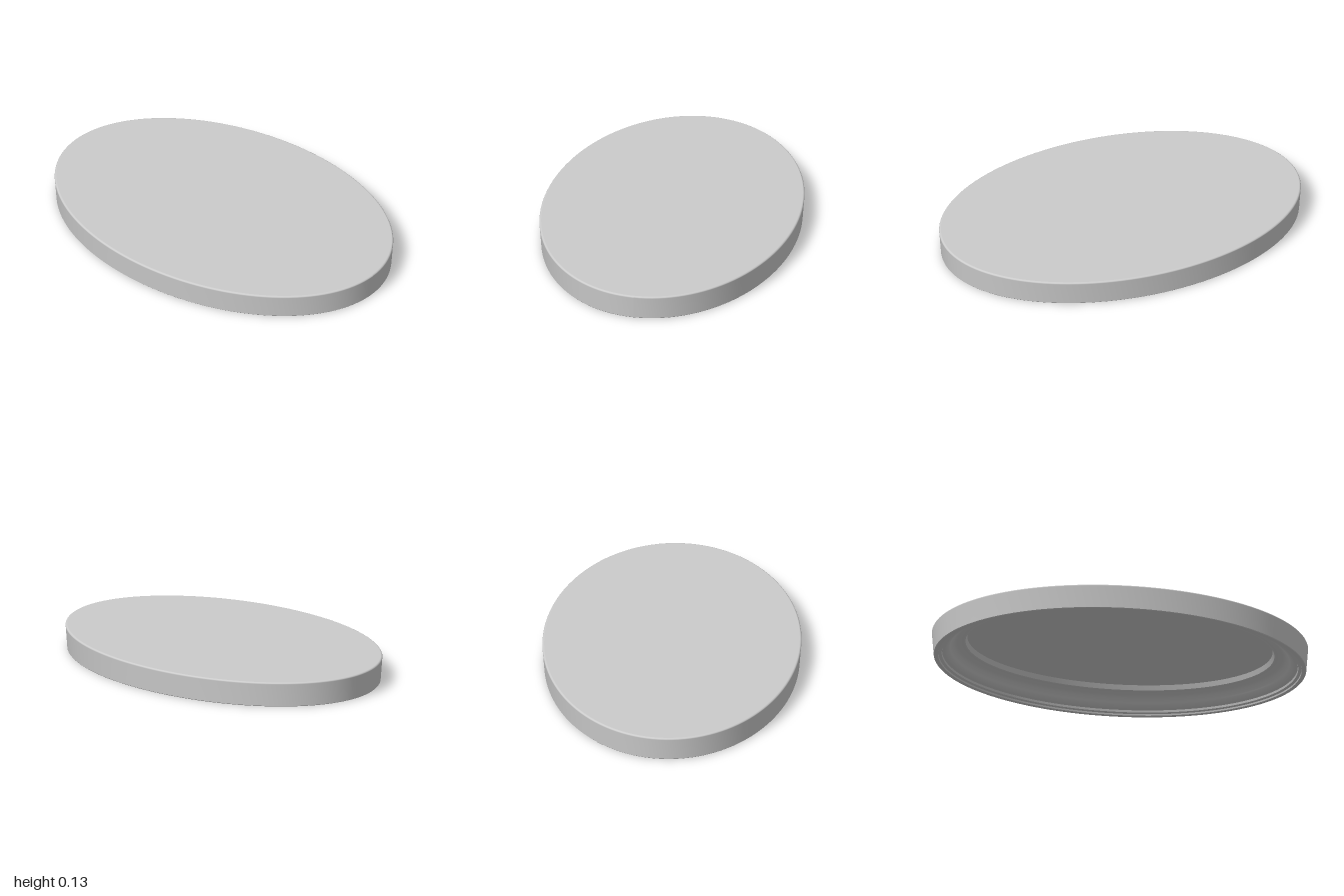
import * as THREE from 'three';

const A = 0.682, B = 1, H = 0.132; // half width, half length, height
const SEGMENTS = 128;
const material = new THREE.MeshStandardMaterial({ color: 0xcccccc });

// Sweep a profile of [inset from the outer edge, height] around the oval.
// Each run is smooth; the edges between runs stay sharp.
function ovalBand(name, profile) {
  const points = profile.map(([inset, y]) => new THREE.Vector2(B - inset, y));
  const geometry = new THREE.LatheGeometry(points, SEGMENTS);
  const pos = geometry.attributes.position;
  for (let i = 0; i < pos.count; i++) {
    const r = Math.hypot(pos.getX(i), pos.getZ(i));
    pos.setX(i, pos.getX(i) * (r - B + A) / r);
  }
  geometry.computeVertexNormals();
  const mesh = new THREE.Mesh(geometry, material);
  mesh.name = name;
  return mesh;
}

// Flat oval facing up (1) or down (-1)
function ovalPanel(name, inset, y, facing) {
  const geometry = new THREE.CircleGeometry(1, SEGMENTS);
  geometry.scale(A - inset, B - inset, 1);
  geometry.rotateX(-facing * Math.PI / 2);
  const mesh = new THREE.Mesh(geometry, material);
  mesh.position.y = y;
  mesh.name = name;
  return mesh;
}

export function createModel() {
  const group = new THREE.Group();
  group.name = 'ovalPlaque';

  // S-shaped moulding on the underside
  const ogee = new THREE.SplineCurve([
    [0.172, 0.078], [0.15, 0.076], [0.125, 0.069], [0.105, 0.053],
    [0.09, 0.036], [0.072, 0.024], [0.055, 0.021],
  ].map(([d, y]) => new THREE.Vector2(d, y)));

  // Slightly flared side with a rounded top edge
  const round = 0.01;
  const side = [[0.01, 0.003], [0.001, H - round]];
  for (let i = 1; i <= 6; i++) {
    const t = (i / 6) * Math.PI / 2;
    side.push([round * (1 - Math.cos(t)), H - round + round * Math.sin(t)]);
  }

  group.add(
    ovalPanel('recessedPanel', 0.188, 0.105, -1),
    ovalBand('panelLip', [[0.188, 0.105], [0.178, 0.08]]),
    ovalBand('lipEdge', [[0.178, 0.08], [0.172, 0.078]]),
    ovalBand('moulding', ogee.getPoints(24).map((p) => [p.x, p.y])),
    ovalBand('mouldingStep', [[0.055, 0.021], [0.052, 0.01]]),
    ovalBand('stepLedge', [[0.052, 0.01], [0.036, 0.008]]),
    ovalBand('rimStep', [[0.036, 0.008], [0.034, 0]]),
    ovalBand('bottomRim', [[0.034, 0], [0.013, 0]]),
    ovalBand('rimBevel', [[0.013, 0], [0.01, 0.003]]),
    ovalBand('outerSide', side),
    ovalPanel('topPanel', round, H, 1),
  );
  return group;
}
